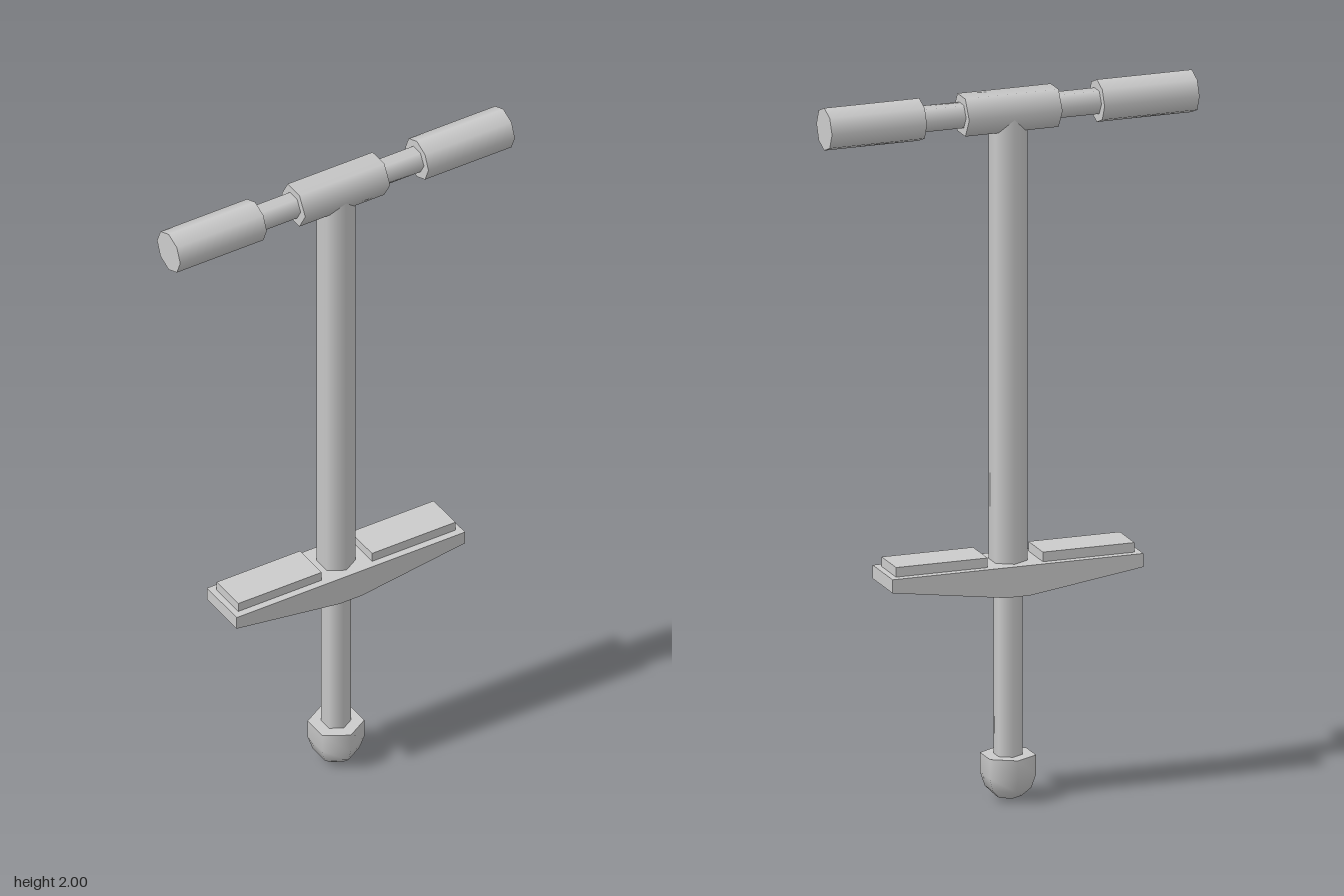
import * as THREE from 'three';

const material = new THREE.MeshStandardMaterial({ color: 0xcccccc });

export function createModel() {
  const model = new THREE.Group();
  model.name = 'pogoStick';

  function add(name, geometry, x = 0, y = 0, z = 0) {
    const mesh = new THREE.Mesh(geometry, material);
    mesh.name = name;
    mesh.position.set(x, y, z);
    model.add(mesh);
    return mesh;
  }
  // Upright hexagonal tube between two heights
  const upright = (name, r, y0, y1) =>
    add(name, new THREE.CylinderGeometry(r, r, y1 - y0, 6), 0, (y0 + y1) / 2);
  // Horizontal tube along x between two positions
  const handleY = 1.94;
  const crosswise = (name, r, x0, x1, sides) =>
    add(name, new THREE.CylinderGeometry(r, r, x1 - x0, sides).rotateZ(Math.PI / 2), (x0 + x1) / 2, handleY);

  // Rounded foot with a flat top
  const footProfile = [[0, 0], [0.037, 0.008], [0.064, 0.032], [0.077, 0.07], [0.077, 0.125]]
    .map(([r, y]) => new THREE.Vector2(r, y));
  add('foot', new THREE.LatheGeometry(footProfile, 6));
  add('footTop', new THREE.CircleGeometry(0.077, 6, Math.PI / 2).rotateX(-Math.PI / 2), 0, 0.125);

  // Inner and outer tubes
  upright('lowerTube', 0.04, 0.1, 0.62);
  upright('mainTube', 0.053, 0.62, handleY);

  // Tapered foot rest
  const rest = new THREE.Shape([
    [-0.363, 0.673], [-0.363, 0.635], [-0.035, 0.588],
    [0.035, 0.588], [0.363, 0.635], [0.363, 0.673],
  ].map(([x, y]) => new THREE.Vector2(x, y)));
  add('footRest', new THREE.ExtrudeGeometry(rest, { depth: 0.154, bevelEnabled: false }), 0, 0, -0.077);

  // Handlebar and its centre sleeve
  crosswise('handlebar', 0.037, -0.3, 0.3, 6);
  crosswise('handleSleeve', 0.061, -0.135, 0.135, 6);

  // Tread pads and grips on both sides
  for (const [side, s] of [['left', 1], ['right', -1]]) {
    add(side + 'TreadPad', new THREE.BoxGeometry(0.265, 0.04, 0.112), s * 0.2125, 0.68);
    const ends = [s * 0.257, s * 0.532].sort((a, b) => a - b);
    crosswise(side + 'Grip', 0.06, ends[0], ends[1], 8);
  }
  return model;
}
